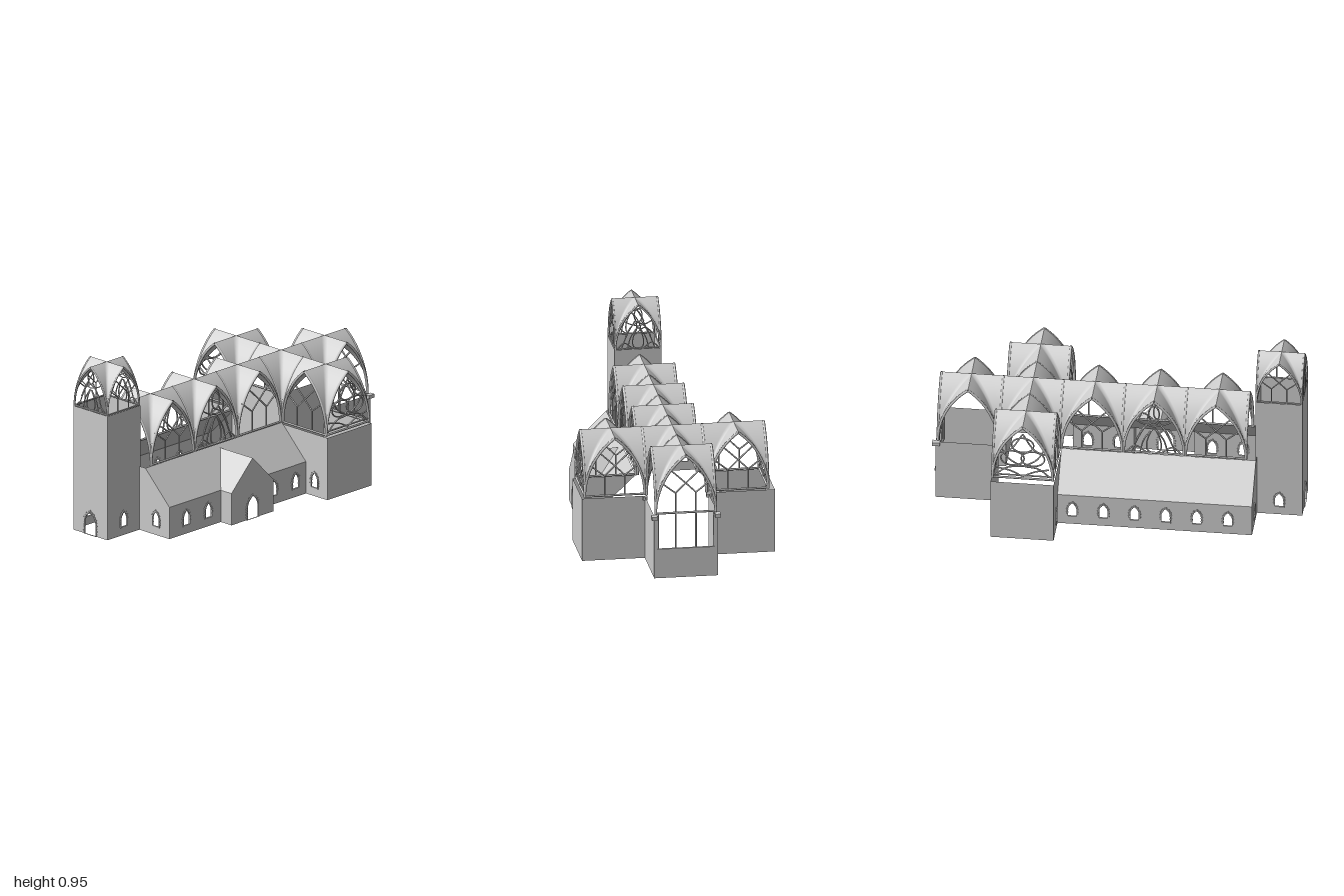
import * as THREE from 'three';

const mat = new THREE.MeshStandardMaterial({ color: 0xcccccc, side: THREE.DoubleSide });
const V = (x, y, z = 0) => new THREE.Vector3(x, y, z);
const CX = 0.0075, BAY = 0.3345, SPRING = 0.357; // nave axis, bay size, vault springing
const RISE = 1.98, R = (1 + RISE * RISE) / 2;    // pointed arch with half-width 1

function add(parent, name, geo) {
  const mesh = new THREE.Mesh(geo, mat);
  mesh.name = name;
  parent.add(mesh);
  return mesh;
}

function group(parent, name, x = 0, y = 0, z = 0, rotY = 0) {
  const g = new THREE.Group();
  g.name = name;
  g.position.set(x, y, z);
  g.rotation.y = rotY;
  parent.add(g);
  return g;
}

// Point on the left half of the arch: t = 0 springing, t = 1 apex
function archPoint(t) {
  const a = t * Math.asin(RISE / R);
  return V(-1 + R * (1 - Math.cos(a)), R * Math.sin(a));
}

// Pointed doorway or window outline
function lancetShape(w, bottom, top, Type = THREE.Shape, cx = 0) {
  const spring = bottom + (top - bottom) * 0.45, c = spring + (top - spring) * 0.65;
  const s = new Type();
  s.moveTo(cx - w, bottom);
  s.lineTo(cx + w, bottom);
  s.lineTo(cx + w, spring);
  s.quadraticCurveTo(cx + w, c, cx, top);
  s.quadraticCurveTo(cx - w, c, cx - w, spring);
  s.closePath();
  return s;
}

const WINDOW = { w: 0.023, bottom: 0.05, top: 0.132 };
const DOOR = { w: 0.042, bottom: 0, top: 0.13 };

// Raised edging with alternating stones around an opening
function surround(parent, cx, o) {
  const g = group(parent, 'stoneSurround', cx, 0, 0);
  const e = 0.005, outer = lancetShape(o.w + e, o.bottom ? o.bottom - e : 0, o.top + e * 1.5);
  outer.holes.push(lancetShape(o.w, o.bottom, o.top, THREE.Path));
  add(g, 'openingFrame', new THREE.ExtrudeGeometry(outer, { depth: 0.01, bevelEnabled: false })).position.z = -0.005;
  const pts = lancetShape(o.w + e, o.bottom, o.top + e).getSpacedPoints(26);
  pts.slice(0, -1).forEach((p, i) => {
    if (p.y < o.bottom + 0.006) return;
    const n = pts[i + 1];
    const stone = add(g, 'surroundStone', new THREE.BoxGeometry(0.006, i % 2 ? 0.007 : 0.012, 0.01));
    stone.position.set(p.x, p.y, 0);
    stone.rotation.z = Math.atan2(n.y - p.y, n.x - p.x);
  });
}

// Thin upright wall from an outline; openings are [position, type]
function wall(parent, name, pts, place, openings = []) {
  const g = group(parent, name, ...place);
  const s = new THREE.Shape(pts.map(p => new THREE.Vector2(...p)));
  for (const [c, o] of openings) {
    if (o.bottom > 0) s.holes.push(lancetShape(o.w, o.bottom, o.top, THREE.Path, c));
    surround(g, c, o);
  }
  add(g, name + 'Face', new THREE.ShapeGeometry(s));
}
const wallZ = (p, name, z, pts, openings) => wall(p, name, pts, [0, 0, z, 0], openings);
const wallX = (p, name, x, pts, openings = []) =>
  wall(p, name, pts.map(([z, y]) => [-z, y]), [x, 0, 0, Math.PI / 2], openings.map(([z, o]) => [-z, o]));
const rect = (a, b, y0, y1) => [[a, y0], [b, y0], [b, y1], [a, y1]];

// Wall outline with a doorway notched out of its bottom edge
function withDoor(a, b, c, upper) {
  const notch = lancetShape(DOOR.w, 0, DOOR.top, THREE.Shape, c).getPoints(8).slice(1, -1);
  const arch = notch.map(p => [p.x, p.y]).filter(p => p[1] > 0).reverse();
  return [[a, 0], [c - DOOR.w, 0], ...arch, [c + DOOR.w, 0], [b, 0], ...upper];
}

// Flat roof panel through three or four corners
function panel(parent, name, ...c) {
  const geo = new THREE.BufferGeometry().setFromPoints(c.map(p => V(...p)));
  geo.setIndex(c.length === 4 ? [0, 1, 2, 0, 2, 3] : [0, 1, 2]);
  geo.computeVertexNormals();
  add(parent, name, geo);
}

// One quarter of a groin vault: the higher of two crossing pointed barrels
function vaultQuarter() {
  const N = 14, pos = [], idx = [];
  const s = Array.from({ length: N + 1 }, (_, i) => archPoint(i / N));
  for (let i = 0; i <= N; i++)
    for (let j = 0; j <= N; j++) pos.push(s[i].x, Math.max(s[i].y, s[j].y), s[j].x);
  for (let i = 0; i < N; i++)
    for (let j = 0; j < N; j++) {
      const a = i * (N + 1) + j, b = a + N + 1;
      idx.push(a, a + 1, b + 1, a, b + 1, b);
    }
  const geo = new THREE.BufferGeometry();
  geo.setAttribute('position', new THREE.Float32BufferAttribute(pos, 3));
  geo.setIndex(idx);
  geo.computeVertexNormals();
  return geo;
}
const quarter = vaultQuarter();

const bar = (pts, r = 0.026, closed = false) => new THREE.TubeGeometry(
  new THREE.CatmullRomCurve3(pts.map(p => V(...p)), closed), pts.length < 3 ? 2 : closed ? 24 : 14, r, 6, closed);
const oval = (x, y, rx, ry) => bar(Array.from({ length: 10 }, (_, i) =>
  [x + rx * Math.cos(i * Math.PI / 5), y + ry * Math.sin(i * Math.PI / 5)]), 0.026, true);
const both = list => list.flatMap(pts => [bar(pts), bar(pts.map(([x, y]) => [-x, y]))]);

// Arch rib and the three tracery patterns, in half-bay units
const half = Array.from({ length: 9 }, (_, i) => archPoint(i / 8)).map(p => [p.x * 0.975, p.y * 0.985]);
const rib = [bar(half, 0.045), bar(half.map(([x, y]) => [-x, y]), 0.045)];
const sill = bar([[-1, 0.03], [1, 0.03]], 0.035);
const patterns = {
  open: [],
  lancets: [sill, ...both([[[-0.33, 0], [-0.33, 0.7]], [[-0.33, 0.7], [-0.55, 0.87], [-0.78, 1.06]],
    [[-0.33, 0.7], [0.05, 1.07], [0.5, 1.49]]])],
  flower: [sill, oval(0, 1.5, 0.17, 0.3),
    bar([[0, 0.95], [-0.23, 0.42], [-0.19, 0.1], [0, 0.03], [0.19, 0.1], [0.23, 0.42]], 0.026, true),
    ...both([[[-0.14, 1.25], [-0.45, 0.7], [-0.72, 0.03]], [[-0.05, 0.95], [-0.33, 0.5], [-0.45, 0.03]],
      [[0, 1.02], [-0.35, 1.12], [-0.64, 1.28]], [[0.1, 1.25], [-0.3, 1.0], [-0.55, 0.55]],
      [[-0.9, 0.03], [-0.6, 0.27], [-0.25, 0.05]]])],
  circles: [sill, oval(0, 1.28, 0.36, 0.27), oval(-0.33, 0.78, 0.38, 0.27), oval(0.33, 0.78, 0.38, 0.27),
    bar([[-0.95, 0.14], [0.95, 0.14]]),
    ...both([[[-0.9, 0.1], [-0.5, 0.42], [0, 0.5], [0.45, 0.75], [0.7, 1.15]],
      [[-0.85, 0.4], [-0.4, 0.3], [0, 0.1]], [[-0.78, 0.95], [-0.4, 1.1], [0, 1.7]]])],
};

// Vaulted bay; faces lists the pattern for front, +x side, back, -x side
function bay(parent, name, x, y, z, size, faces) {
  const g = group(parent, name, x, y, z);
  g.scale.setScalar(size / 2);
  for (let k = 0; k < 4; k++) {
    add(g, 'vaultQuarter', quarter).rotation.y = k * Math.PI / 2;
    if (!faces[k]) continue;
    const a = k * Math.PI / 2;
    const w = group(g, 'tracedWindow', Math.sin(a) * 0.97, 0, Math.cos(a) * 0.97, a);
    rib.forEach(r => add(w, 'archRib', r));
    patterns[faces[k]].forEach(b => add(w, 'traceryBar', b));
  }
  return g;
}

export function createModel() {
  const model = new THREE.Group();
  model.name = 'church';

  // Tower
  const tower = group(model, 'tower'), tx0 = -0.12, tx1 = 0.135, tz0 = 0.742, tz1 = 0.995;
  wallZ(tower, 'towerFront', tz1, withDoor(tx0, tx1, CX, [[tx1, 0.703], [tx0, 0.703]]), [[CX, DOOR]]);
  wallZ(tower, 'towerBack', tz0, rect(tx0, tx1, 0.36, 0.703));
  for (const x of [tx0, tx1]) wallX(tower, 'towerSide', x, rect(tz0, tz1, 0, 0.703), [[0.87, WINDOW]]);
  bay(tower, 'towerVault', CX, 0.703, 0.869, 0.252, ['flower', 'lancets', 'flower', 'lancets']);

  // Aisles: low walls, lean-to roofs and front walls
  const aisles = group(model, 'aisles'), za = -0.3, zb = 0.75;
  const xl = -0.345, xr = 0.36, rl = -0.165, rr = 0.18;
  const slots = [0.62, 0.452, 0.284, 0.116, -0.052, -0.22].map(z => [z, WINDOW]);
  wallX(aisles, 'leftAisleWall', xl, rect(za, zb, 0, 0.18), slots);
  wallX(aisles, 'rightAisleWallFront', xr, rect(0.355, zb, 0, 0.18), slots.slice(0, 2));
  wallX(aisles, 'rightAisleWallBack', xr, rect(za, 0.03, 0, 0.18), slots.slice(4));
  for (const [o, i, t, w] of [[xl, rl, tx0, -0.24], [xr, rr, tx1, 0.26]]) {
    wallZ(aisles, 'aisleFront', zb, [[o, 0], [t, 0], [t, 0.36], [i, 0.36], [o, 0.18]], [[w, WINDOW]]);
    panel(aisles, 'aisleRoof', [o, 0.18, za], [o, 0.18, zb], [i, 0.36, zb], [i, 0.36, za]);
  }

  // Gabled side porch
  const porch = group(model, 'porch'), px = 0.44, p0 = 0.03, p1 = 0.355, pm = 0.1925;
  wallX(porch, 'porchGable', px, withDoor(p0, p1, pm, [[p1, 0.18], [pm, 0.342], [p0, 0.18]]), [[pm, DOOR]]);
  for (const z of [p0, p1]) {
    wallZ(porch, 'porchSide', z, rect(xr, px, 0, 0.18));
    panel(porch, 'porchRoof', [0.198, 0.342, pm], [px, 0.342, pm], [px, 0.18, z], [xr, 0.18, z]);
  }

  // Transept walls
  const transept = group(model, 'transept'), tb = -0.64, H = 0.352;
  for (const [end, o, i, w] of [[-0.525, xl, rl, -0.41], [0.52, xr, rr, 0.425]]) {
    wallX(transept, 'transeptEnd', end, rect(tb, za, 0, H));
    wallZ(transept, 'transeptBack', tb, rect(end, i, 0, H));
    wallZ(transept, 'transeptFront', za, [[end, 0], [o, 0], [o, 0.18], [i, H], [end, H]], [[w, WINDOW]]);
  }

  // Chancel walls, with a tall window cut into the back
  const chancel = group(model, 'chancel'), cb = -0.98, low = 0.16;
  for (const x of [rl, rr]) {
    wallX(chancel, 'chancelSide', x, rect(cb, tb, 0, H));
    add(chancel, 'cornerBracket', new THREE.BoxGeometry(0.03, 0.02, 0.042)).position.set(x, 0.342, cb + 0.003);
    add(chancel, 'innerBracket', new THREE.BoxGeometry(0.025, 0.02, 0.02)).position.set(x, 0.342, tb - 0.01);
  }
  wallZ(chancel, 'chancelBack', cb, [[rl, 0], [rr, 0], [rr, H], [rr - 0.02, H], [rr - 0.02, low],
    [rl + 0.02, low], [rl + 0.02, H], [rl, H]]);
  for (const u of [-0.9, -0.33, 0.33, 0.9])
    add(chancel, 'tallMullion', new THREE.CylinderGeometry(0.005, 0.005, SPRING - low, 6))
      .position.set(CX + u * BAY / 2, (SPRING + low) / 2, cb + 0.005);
  add(chancel, 'tallSill', new THREE.BoxGeometry(0.31, 0.012, 0.014)).position.set(CX, low, cb);

  // Vaults over nave, crossing, chancel and transept arms
  const vaults = group(model, 'vaults'), zc = -0.471;
  ['lancets', 'flower', 'lancets'].forEach((p, i) =>
    bay(vaults, 'naveVault', CX, SPRING, zc + BAY * (3 - i), BAY, ['open', p, null, p]));
  bay(vaults, 'crossingVault', CX, SPRING, zc, BAY, ['open', 'open', 'open', 'open']);
  bay(vaults, 'chancelVault', CX, SPRING, zc - BAY, BAY, [null, 'open', 'lancets', 'open']);
  bay(vaults, 'leftArmVault', CX + BAY, SPRING, zc, BAY, ['lancets', 'circles', 'lancets', null]);
  bay(vaults, 'rightArmVault', CX - BAY, SPRING, zc, BAY, ['lancets', null, 'lancets', 'circles']);
  return model;
}
